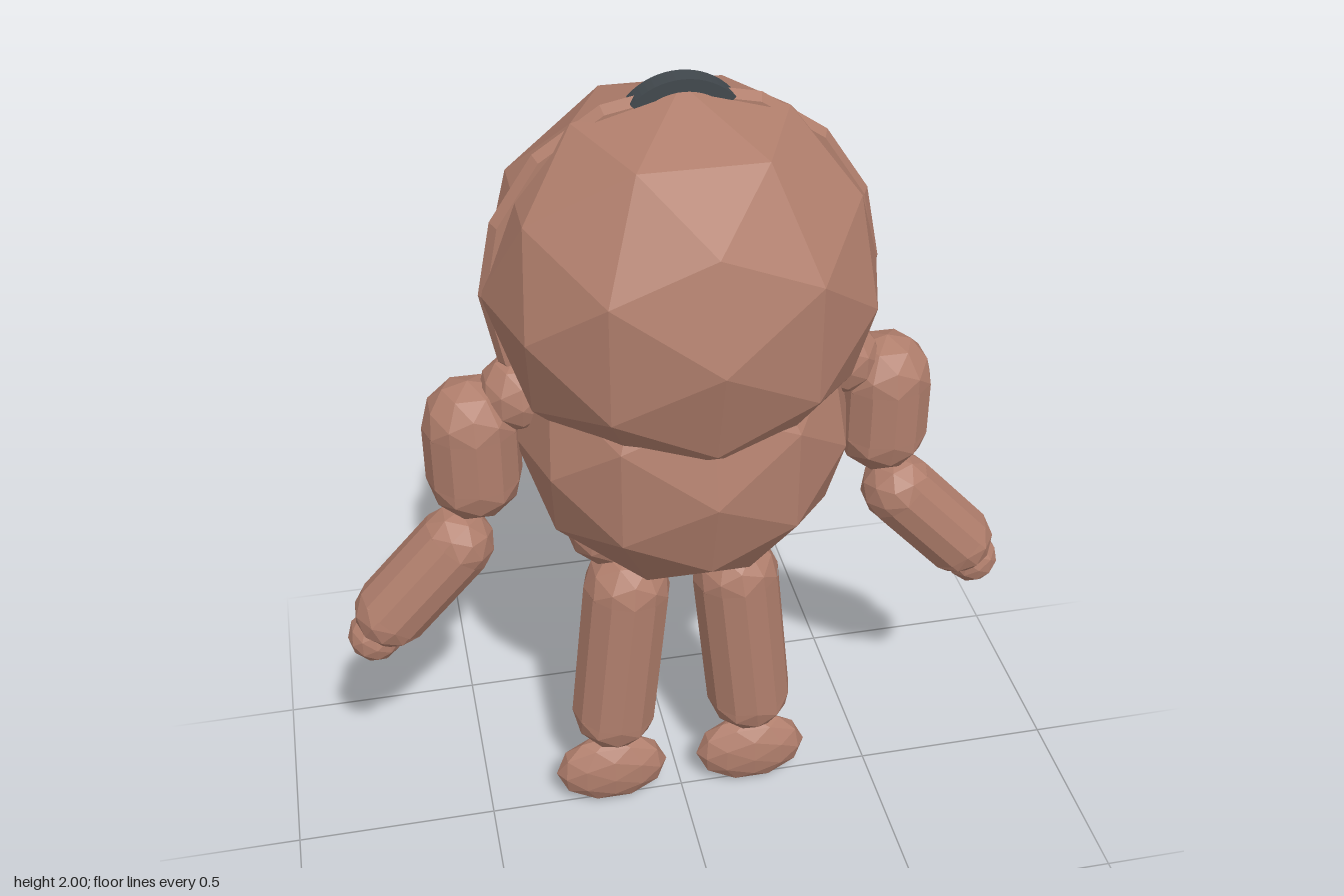
import * as THREE from 'three';

const skin = new THREE.MeshStandardMaterial({ color: 0xb07e6c, flatShading: true });
const dark = new THREE.MeshStandardMaterial({ color: 0x41484d, flatShading: true });

function add(parent, name, geometry, x, y, z = 0, material = skin) {
  const mesh = new THREE.Mesh(geometry, material);
  mesh.name = name;
  mesh.position.set(x, y, z);
  parent.add(mesh);
  return mesh;
}

const ball = (r) => new THREE.IcosahedronGeometry(r, 1);

// Limb segment: a faceted rod with a ball at each end
function limb(parent, name, x0, y0, x1, y1, r) {
  const group = new THREE.Group();
  group.name = name;
  const a = new THREE.Vector3(x0, y0, 0);
  const b = new THREE.Vector3(x1, y1, 0);
  const dir = b.clone().sub(a);
  const length = dir.length();
  group.position.copy(a).add(b).multiplyScalar(0.5);
  group.quaternion.setFromUnitVectors(new THREE.Vector3(0, -1, 0), dir.normalize());
  add(group, name + 'Rod', new THREE.CylinderGeometry(r, r, length, 12, 1, true), 0, 0);
  add(group, name + 'TopCap', ball(r), 0, length / 2);
  add(group, name + 'BottomCap', ball(r), 0, -length / 2);
  parent.add(group);
}

export function createModel() {
  const model = new THREE.Group();
  model.name = 'figure';

  // Head and body
  add(model, 'head', ball(0.44), 0, 1.54);
  add(model, 'torso', ball(0.39), 0, 1.18);

  // Thin seam round the sides of the head
  add(model, 'headSeam', new THREE.TorusGeometry(0.415, 0.028, 6, 16), 0, 1.54);

  // Small arched band on the crown
  const half = 0.82;
  const arch = new THREE.Shape();
  arch.absarc(0, 0, 0.15, Math.PI / 2 - half, Math.PI / 2 + half, false);
  arch.absarc(0, 0, 0.123, Math.PI / 2 + half, Math.PI / 2 - half, true);
  arch.closePath();
  const band = new THREE.ExtrudeGeometry(arch, { depth: 0.05, bevelEnabled: false, curveSegments: 8 });
  band.translate(0, 0, -0.025);
  add(model, 'crownBand', band, 0, 1.85, 0, dark);

  // Arms and legs, mirrored
  for (const [side, s] of [['left', 1], ['right', -1]]) {
    add(model, side + 'Shoulder', ball(0.09), s * 0.37, 1.29);
    limb(model, side + 'UpperArm', s * 0.48, 1.22, s * 0.48, 1.085, 0.11);
    limb(model, side + 'Forearm', s * 0.535, 0.895, s * 0.7, 0.715, 0.09);
    add(model, side + 'Hand', ball(0.065), s * 0.745, 0.65);

    add(model, side + 'Hip', ball(0.1), s * 0.18, 0.895);
    limb(model, side + 'Leg', s * 0.135, 0.7, s * 0.175, 0.31, 0.107);
    add(model, side + 'Foot', ball(1), s * 0.185, 0.105).scale.set(0.145, 0.102, 0.06);
  }
  return model;
}
